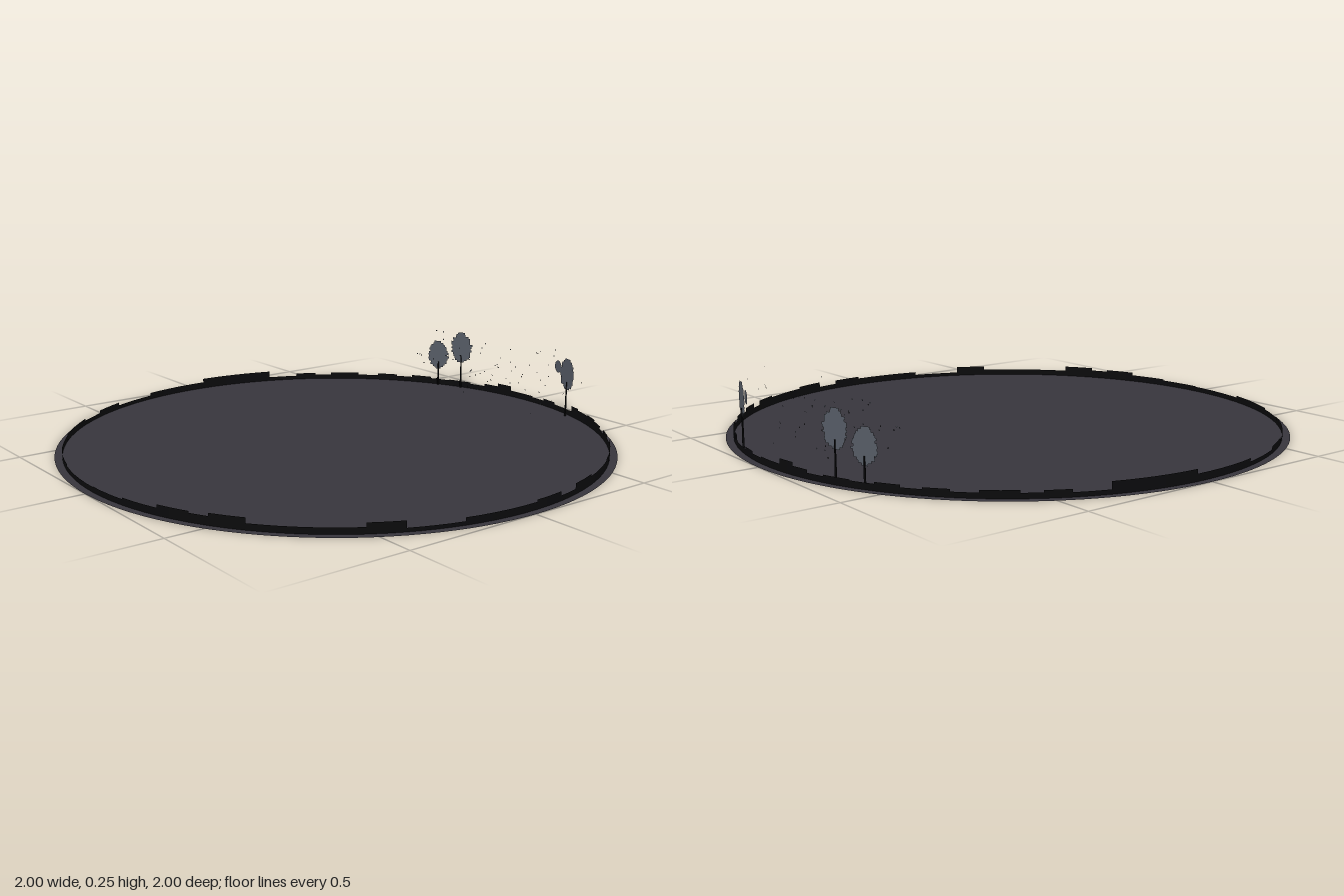
import * as THREE from 'three';

const mat = (name, color) => {
  const m = new THREE.MeshStandardMaterial({ color, side: THREE.DoubleSide });
  m.name = name;
  return m;
};

// Small seeded random source
function seeded(seed) {
  let s = seed;
  return () => {
    s = (s * 16807) % 2147483647;
    return s / 2147483647;
  };
}

// Flat leafy crown: an ellipse with a stepped, ragged outline
function crownGeometry(rx, ry, rand, step = 0.008) {
  const right = [], left = [];
  const rows = Math.round((2 * ry) / step);
  for (let i = 0; i < rows; i++) {
    const y0 = -ry + i * step, y1 = y0 + step;
    const t = (y0 + y1) / 2 / ry;
    const half = rx * Math.sqrt(Math.max(0.08, 1 - t * t));
    const a = half + (rand() - 0.5) * 0.01;
    const b = half + (rand() - 0.5) * 0.01;
    right.push(new THREE.Vector2(a, y0), new THREE.Vector2(a, y1));
    left.push(new THREE.Vector2(-b, y0), new THREE.Vector2(-b, y1));
  }
  return new THREE.ShapeGeometry(new THREE.Shape([...right, ...left.reverse()]));
}

export function createModel() {
  const model = new THREE.Group();
  model.name = 'roundDiorama';
  const ground = mat('dark ground', 0x37353c);
  const black = mat('silhouette black', 0x0a0a0c);
  const leaf = mat('slate leaf', 0x565c66);
  const rand = seeded(77);
  const rad = THREE.MathUtils.degToRad;

  const add = (parent, name, geometry, material, x = 0, y = 0, z = 0) => {
    const mesh = new THREE.Mesh(geometry, material);
    mesh.name = name;
    mesh.position.set(x, y, z);
    parent.add(mesh);
    return mesh;
  };

  // Ground disc
  add(model, 'groundDisc', new THREE.CircleGeometry(1, 128).rotateX(-Math.PI / 2), ground);

  // Low skyline around the rim: start angle in degrees (0 = front) and height
  const skyline = [
    [0, 0.02], [10, 0.025], [19, 0.036], [26, 0.03], [30, 0.04], [37, 0.022],
    [58, 0.036], [65, 0.013], [76, 0.025], [92, 0.032], [99, 0.018],
    [104, 0.037], [111, 0.03], [122, 0.036], [128, 0.02], [131, 0.037],
    [136, 0.025], [140, 0.035], [144, 0.02], [147, 0.034], [151, 0.04],
    [155, 0.036], [160, 0.042], [163, 0.02], [170, 0.028], [174, 0.02],
    [178, 0.024], [185, 0.042], [189, 0.03], [193, 0.02], [197, 0.025],
    [203, 0.022], [208, 0.028], [213, 0.02], [217, 0.026], [222, 0.018],
    [227, 0.026], [234, 0.018], [238, 0.025], [243, 0.015], [250, 0.04],
    [268, 0.025], [284, 0.014], [295, 0.025], [303, 0.015], [310, 0.024],
    [323, 0.02], [331, 0.025], [345, 0.018], [360, 0],
  ];
  const wall = new THREE.Group();
  wall.name = 'skylineWall';
  model.add(wall);
  for (let i = 0; i < skyline.length - 1; i++) {
    const [start, h] = skyline[i];
    const span = skyline[i + 1][0] - start;
    const arc = new THREE.CylinderGeometry(
      0.973, 0.973, h, Math.max(1, Math.round(span / 3)), 1, true, rad(start), rad(span));
    add(wall, 'skylineBlock', arc, black, 0, h / 2, 0);
  }

  // Flat trees that face the middle of the disc
  const trees = [
    { x: -0.42, z: -0.867, y: 0.13, rx: 0.043, ry: 0.06 },
    { x: -0.325, z: -0.91, y: 0.17, rx: 0.047, ry: 0.062 },
    { x: 0.265, z: -0.918, y: 0.166, rx: 0.047, ry: 0.06, side: true },
  ];
  for (const t of trees) {
    const tree = new THREE.Group();
    tree.name = 'tree';
    tree.position.set(t.x, 0, t.z);
    tree.rotation.y = Math.atan2(-t.x, -t.z);
    model.add(tree);
    const trunkH = t.y - t.ry + 0.03;
    add(tree, 'trunk', new THREE.CylinderGeometry(0.0025, 0.004, trunkH, 6), black, 0, trunkH / 2, 0);
    add(tree, 'crown', crownGeometry(t.rx, t.ry, rand), leaf, 0, t.y, 0);
    if (t.side) {
      add(tree, 'sideCrown', new THREE.CircleGeometry(0.024, 16), leaf, -0.062, 0.184, 0.003);
    }
  }

  // Tiny flakes drifting over the back of the disc
  const flakes = new THREE.Group();
  flakes.name = 'driftingFlakes';
  model.add(flakes);
  const flakeGeometry = new THREE.PlaneGeometry(0.005, 0.004);
  for (let i = 0; i < 70; i++) {
    const a = (rand() - 0.5) * rad(58);
    const r = 0.7 + rand() * 0.25;
    const flake = add(flakes, 'flake', flakeGeometry, i % 3 ? leaf : black,
      Math.sin(a) * r, 0.05 + rand() * 0.2, -Math.cos(a) * r);
    flake.rotation.set((rand() - 0.5) * 1.2, -a, rand() * 3);
  }

  return model;
}
